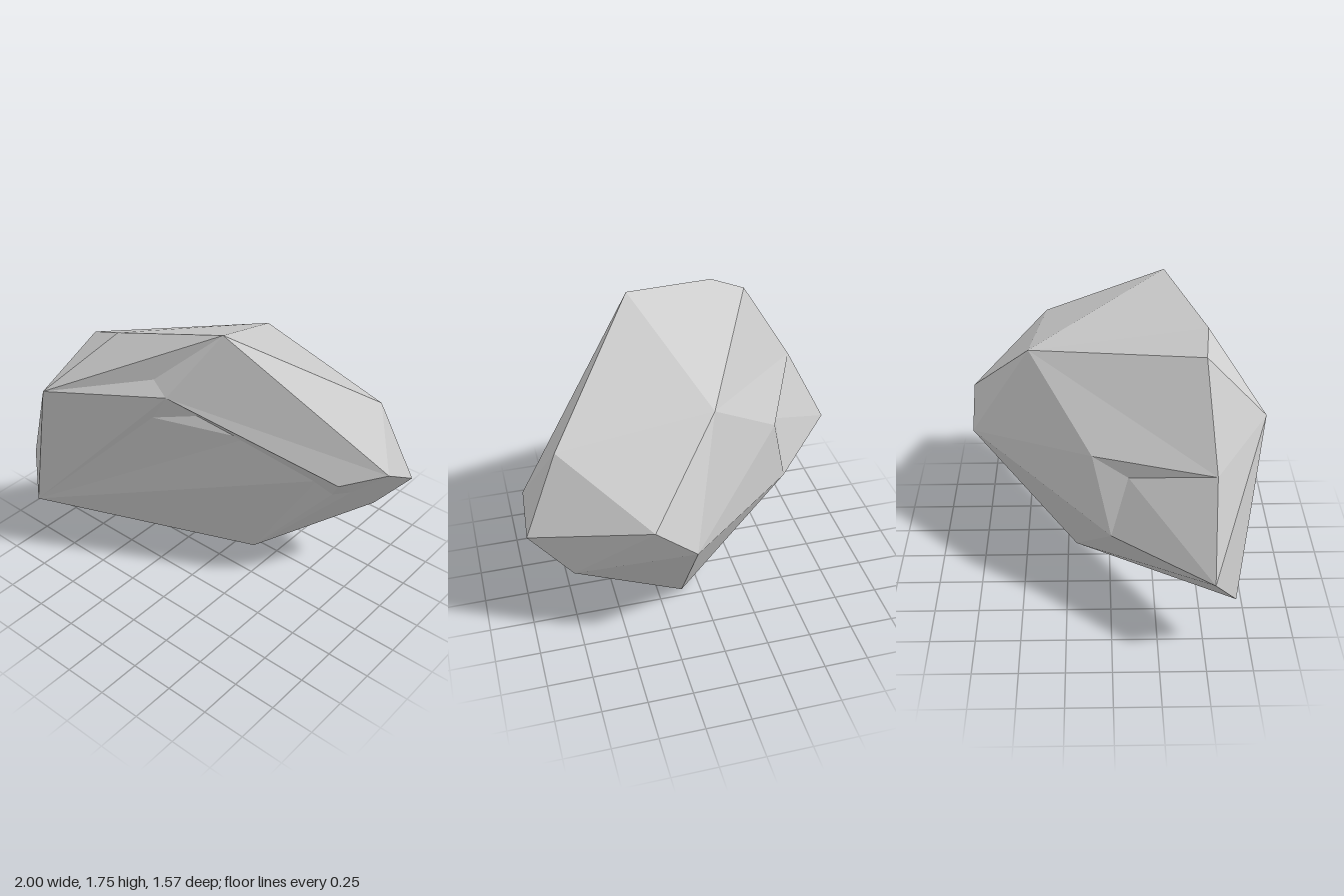
import * as THREE from 'three';

// Corner points of the boulder, each [x, y, z]
const corners = {
  // crown
  A: [0.28, 1.75, 0.30], B: [-0.25, 1.66, 0.50], C: [-0.44, 1.59, 0.48], Q: [-0.01, 1.41, -0.44],
  // right-hand flank and foot
  D: [-0.55, 1.32, 0.78], E: [-0.86, 0.38, 0.65], F: [-1, 0.59, 0.52], G: [-0.75, 1.08, 0.53],
  H: [0.11, 0, -0.20],
  // left-hand flank and back
  I: [0.77, 0.51, -0.46], J: [1, 0.80, -0.45], K: [0.98, 0.93, -0.23], L: [0.81, 1.25, -0.37],
  P: [0.39, 0.97, -0.79], R: [0.17, 0.79, -0.79],
  // front brow and the ledge beneath it
  M: [0.04, 1.37, 0.47], N: [0.78, 0.86, -0.06], S: [-0.04, 1.45, 0.47],
  O: [-0.07, 1.20, 0.46], T: [0.12, 1.22, 0.32], X: [0.33, 1.09, 0.17],
  U: [0.63, 0.82, -0.07], W: [0.68, 0.70, -0.16], Y: [0.77, 0.73, -0.21],
  // hollow in the back
  a: [-0.46, 1.02, -0.10], b: [-0.57, 0.58, 0], c: [-0.53, 0.93, 0.09],
};

// Facet fans: the first corner is the hub, the rest run round it
const fans = [
  'QALPRaGCBA',  // crown and upper back
  'DABCGFEMSA',  // front shoulder
  'SMA',         // crease under the peak
  'HUEFbRIYWU',  // foot
  'KAMNYIJLA',   // left point
  'PLJIR',       // rear corner
  'EUXOM',       // front slab
  'TOXWNMO',     // recess under the brow
  'WXU', 'WYN',  // ends of the ledge
  'cabFGa',      // rear hollow
  'aRb',         // rear wall
];

function facetedGeometry() {
  const positions = [];
  for (const [hub, ...rim] of fans) {
    for (let i = 0; i < rim.length - 1; i++) {
      for (const key of [hub, rim[i], rim[i + 1]]) positions.push(...corners[key]);
    }
  }
  const geometry = new THREE.BufferGeometry();
  geometry.setAttribute('position', new THREE.Float32BufferAttribute(positions, 3));
  geometry.computeVertexNormals();
  return geometry;
}

export function createModel() {
  const group = new THREE.Group();
  group.name = 'boulder';
  const material = new THREE.MeshStandardMaterial({ color: 0xcccccc, flatShading: true });
  const rock = new THREE.Mesh(facetedGeometry(), material);
  rock.name = 'rock';
  group.add(rock);
  return group;
}
